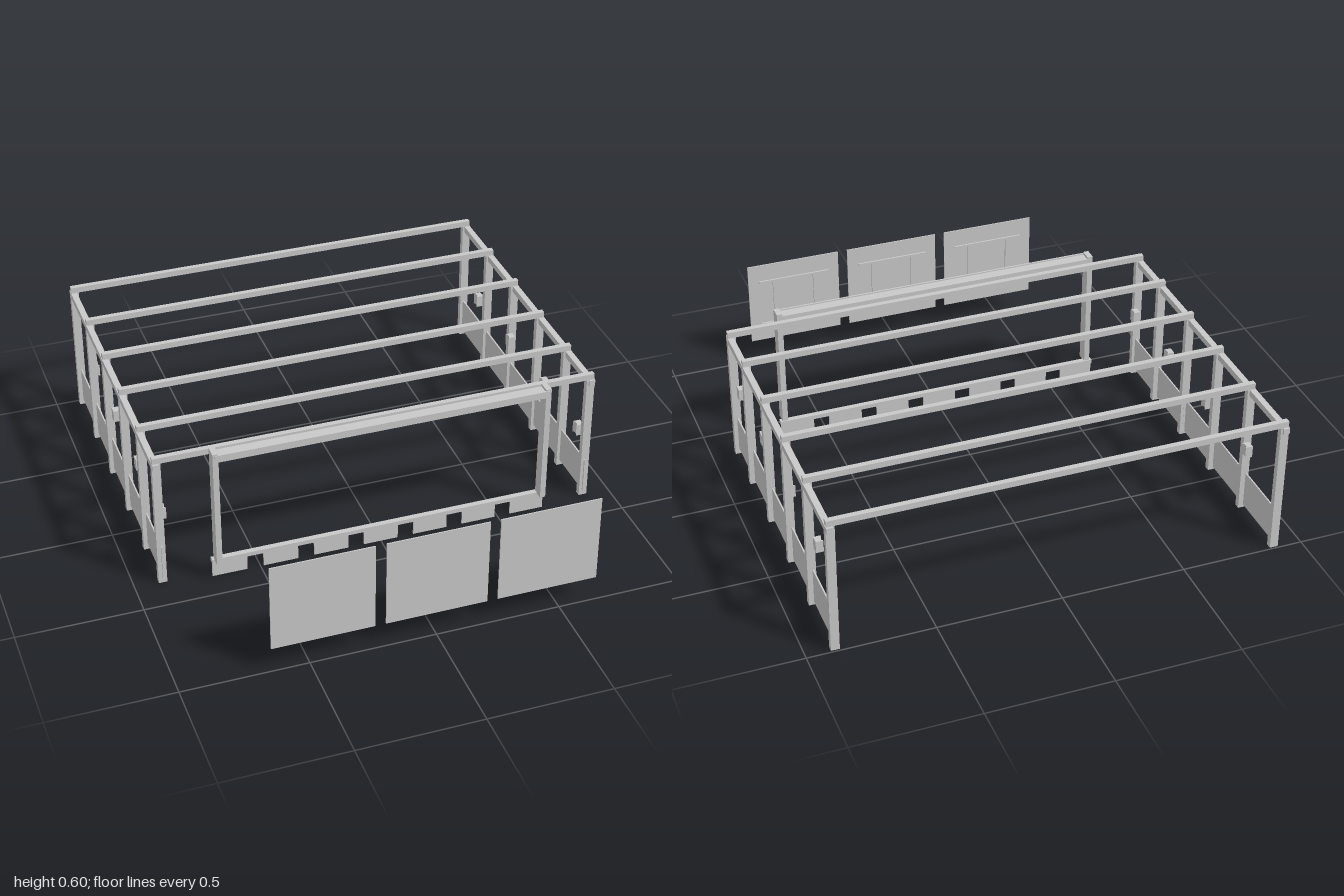
import * as THREE from 'three';

export function createModel() {
  const model = new THREE.Group();
  const grey = new THREE.MeshStandardMaterial({ color: 0xc8c8c8 });
  grey.name = 'lightGreyMetal';

  // Box given by its min and max on each axis
  function box(name, x0, x1, y0, y1, z0, z1, parent = model) {
    const mesh = new THREE.Mesh(new THREE.BoxGeometry(x1 - x0, y1 - y0, z1 - z0), grey);
    mesh.position.set((x0 + x1) / 2, (y0 + y1) / 2, (z0 + z1) / 2);
    mesh.name = name;
    parent.add(mesh);
  }
  // Same box on both sides of the model
  function pair(name, x0, x1, ...rest) {
    box(name + 'Left', x0, x1, ...rest);
    box(name + 'Right', -x1, -x0, ...rest);
  }

  // Posts and cross beams
  for (const z of [0.348, 0.122, -0.152, -0.427, -0.703, -0.98]) {
    pair('post', 0.87, 0.904, 0, 0.558, z - 0.012, z + 0.012);
    box('crossBeam', -0.902, 0.902, 0.557, 0.582, z - 0.011, z + 0.011);
  }

  // Side rails along the post tops
  pair('sideRail', 0.878, 0.903, 0.531, 0.557, -1, 0.367);

  // Low wall panels
  const panels = [[0.13, 0.367], [-0.165, 0.092], [-0.437, -0.182], [-0.715, -0.455], [-0.97, -0.73]];
  for (const [z0, z1] of panels) pair('wallPanel', 0.882, 0.888, 0.025, 0.175, z0, z1);

  // Wall fixtures with a notched inner face
  const profile = new THREE.Shape([
    [-0.017, 0], [-0.017, 0.03], [-0.009, 0.024], [0.009, 0.024], [0.017, 0.03], [0.017, 0],
  ].map(([x, y]) => new THREE.Vector2(x, y)));
  const fixtureGeometry = new THREE.ExtrudeGeometry(profile, { depth: 0.05, bevelEnabled: false });
  fixtureGeometry.rotateX(-Math.PI / 2);
  for (const z of [0.315, -0.027, -0.39, -0.753]) {
    for (const side of [1, -1]) {
      const fixture = new THREE.Mesh(fixtureGeometry, grey);
      fixture.name = side > 0 ? 'wallFixtureLeft' : 'wallFixtureRight';
      fixture.position.set(side * 0.882, 0.28, z);
      fixture.rotation.y = side * Math.PI / 2;
      model.add(fixture);
    }
  }

  // Front opening: jambs, header and sill
  pair('frontJamb', 0.664, 0.687, 0.082, 0.598, 0.378, 0.428);
  box('frontHeader', -0.68, 0.68, 0.558, 0.587, 0.38, 0.426);
  box('headerLip', -0.68, 0.68, 0.565, 0.592, 0.424, 0.431);
  box('frontSill', -0.697, 0.697, 0.068, 0.086, 0.373, 0.396);

  // Hanging skirt plates under the sill
  for (let i = 0; i < 7; i++) {
    const x = -0.695 + i * 0.208;
    box('skirtPlate', x, x + 0.142, 0, 0.07, 0.38, 0.386);
  }

  // Free-standing display boards with rear battens
  for (const x of [-0.446, 0, 0.446]) {
    const board = new THREE.Group();
    board.name = 'displayBoard';
    board.position.x = x;
    box('boardFace', -0.202, 0.202, 0.105, 0.474, 0.995, 1, board);
    for (const y of [0.185, 0.393]) box('boardBatten', -0.155, 0.155, y - 0.005, y + 0.005, 0.988, 0.995, board);
    for (const s of [-0.09, 0.09]) box('boardUpright', s - 0.005, s + 0.005, 0.19, 0.388, 0.988, 0.995, board);
    model.add(board);
  }

  return model;
}
